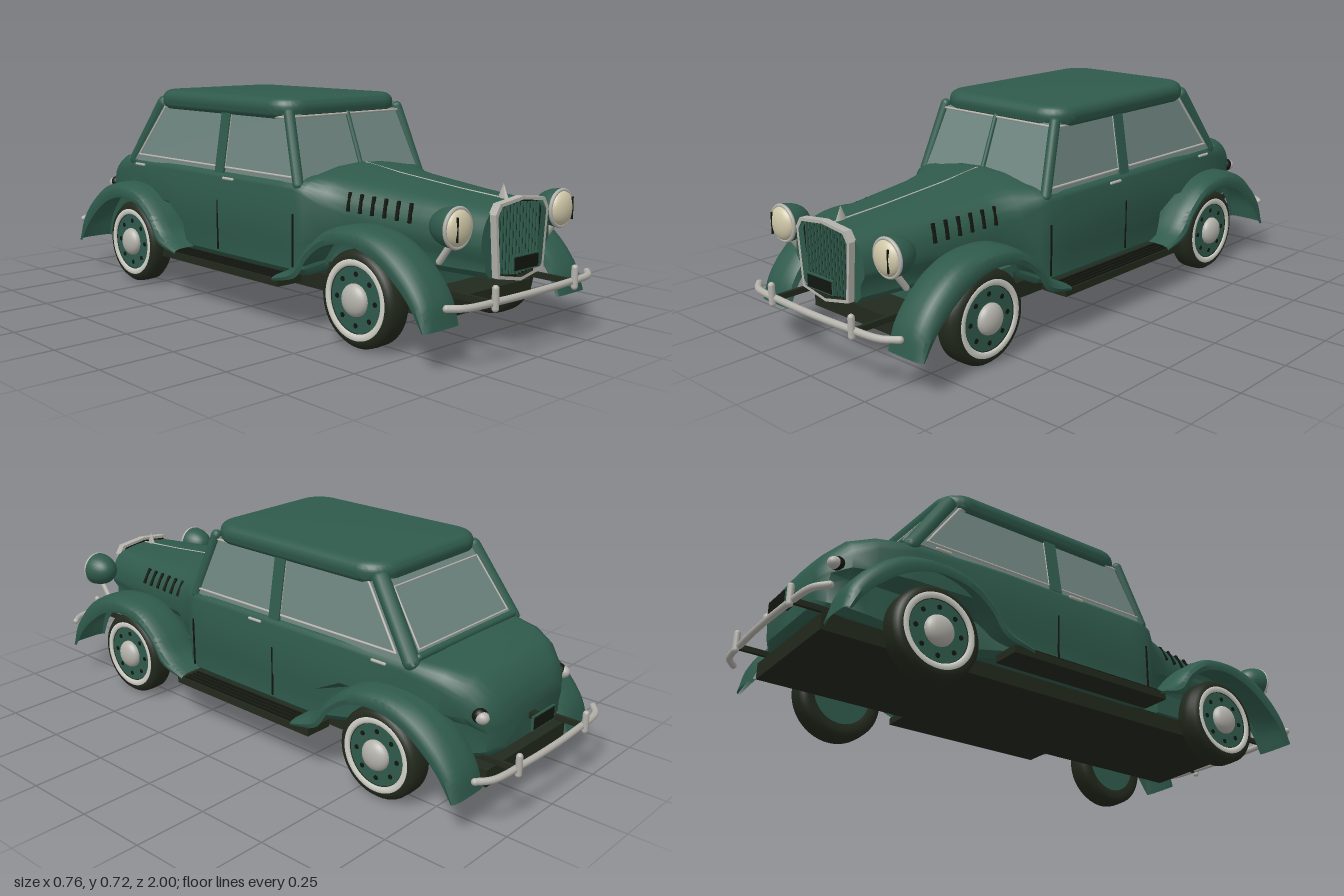
import * as THREE from 'three';
import { toCreasedNormals } from 'three/addons/utils/BufferGeometryUtils.js';

const V = (x, y, z) => new THREE.Vector3(x, y, z);
const mat = (name, color, side = THREE.FrontSide) => new THREE.MeshStandardMaterial({ name, color, side });

export function createModel() {
  const root = new THREE.Group();
  root.name = 'vintageSaloonCar';
  const green = mat('bodyGreen', 0x2f5a4c, THREE.DoubleSide);
  const dark = mat('blackRubber', 0x22291d);
  const chrome = mat('chrome', 0xb4b2ab);
  const glass = mat('glass', 0x6f8580);
  const ivory = mat('lampIvory', 0xcfc7a8);
  const white = mat('whitewall', 0xd2d2ca);
  const black = mat('seamBlack', 0x12160f);

  const add = (name, geo, m, pos = [0, 0, 0], parent = root) => {
    const mesh = new THREE.Mesh(geo, m);
    mesh.name = name;
    mesh.position.set(...pos);
    parent.add(mesh);
    return mesh;
  };
  const box = (name, size, m, pos, parent) => add(name, new THREE.BoxGeometry(...size), m, pos, parent);
  const beam = (name, a, b, r, m) => {
    const d = b.clone().sub(a);
    const mesh = add(name, new THREE.CapsuleGeometry(r, d.length(), 4, 12), m);
    mesh.position.copy(a).addScaledVector(d, 0.5);
    mesh.quaternion.setFromUnitVectors(V(0, 1, 0), d.normalize());
    return mesh;
  };
  const outline = (name, pts, r, m) => pts.forEach((p, i) => beam(name, p, pts[(i + 1) % pts.length], r, m));

  // Skin rings of equal length, optionally closed around and capped
  const loft = (rings, closed) => {
    const n = rings[0].length, pos = rings.flat().flatMap(p => p.toArray()), idx = [];
    for (let i = 0; i < rings.length - 1; i++)
      for (let j = 0; j < (closed ? n : n - 1); j++) {
        const a = i * n + j, b = i * n + (j + 1) % n;
        idx.push(a, a + n, b, b, a + n, b + n);
      }
    if (closed) [0, rings.length - 1].forEach((k, end) => {
      const c = rings[k].reduce((s, p) => s.add(p), V(0, 0, 0)).divideScalar(n), ci = pos.length / 3;
      pos.push(...c.toArray());
      for (let j = 0; j < n; j++) {
        const a = k * n + j, b = k * n + (j + 1) % n;
        idx.push(ci, end ? b : a, end ? a : b);
      }
    });
    const g = new THREE.BufferGeometry();
    g.setAttribute('position', new THREE.Float32BufferAttribute(pos, 3));
    g.setIndex(idx);
    return toCreasedNormals(g, 0.65);
  };

  // Bonnet, doors and tail: [z, lower half width, half width, bottom, step, top, corner x, corner y, crown]
  const section = ([z, wb, w, yb, ys, yt, rx, ry, crown]) => {
    const half = [[wb - 0.02, yb], [wb, yb + 0.02], [wb, ys - 0.01], [w, ys + 0.02]];
    for (let i = 0; i <= 6; i++) {
      const a = i / 6 * Math.PI / 2;
      half.push([w - rx + rx * Math.cos(a), yt - ry + ry * Math.sin(a)]);
    }
    half.push([(w - rx) * 0.5, yt + crown * 0.75]);
    return [V(0, yb, z), ...half.map(p => V(p[0], p[1], z)), V(0, yt + crown, z),
      ...half.reverse().map(p => V(-p[0], p[1], z))];
  };
  add('bodyShell', loft([
    [0.91, 0.14, 0.16, 0.235, 0.30, 0.435, 0.07, 0.10, 0.010],
    [0.70, 0.17, 0.19, 0.235, 0.30, 0.448, 0.08, 0.10, 0.012],
    [0.45, 0.20, 0.225, 0.225, 0.30, 0.467, 0.09, 0.10, 0.016],
    [0.36, 0.235, 0.252, 0.19, 0.28, 0.476, 0.10, 0.09, 0.020],
    [0.31, 0.285, 0.29, 0.165, 0.25, 0.480, 0.10, 0.06, 0.022],
    [0.27, 0.296, 0.30, 0.16, 0.25, 0.475, 0.10, 0.04, 0.025],
    [0.20, 0.298, 0.303, 0.16, 0.25, 0.460, 0.03, 0.03, 0],
    [-0.30, 0.298, 0.305, 0.16, 0.25, 0.460, 0.03, 0.03, 0],
    [-0.40, 0.245, 0.302, 0.16, 0.30, 0.460, 0.03, 0.03, 0],
    [-0.64, 0.235, 0.292, 0.16, 0.30, 0.460, 0.04, 0.04, 0.004],
    [-0.76, 0.235, 0.275, 0.17, 0.30, 0.453, 0.06, 0.06, 0.006],
    [-0.83, 0.225, 0.248, 0.18, 0.30, 0.438, 0.08, 0.08, 0.008],
    [-0.88, 0.20, 0.215, 0.19, 0.28, 0.395, 0.09, 0.08, 0.006],
    [-0.905, 0.16, 0.17, 0.21, 0.27, 0.345, 0.08, 0.05, 0.004],
  ].map(section), true), green);
  box('chassis', [0.44, 0.055, 1.71], dark, [0, 0.1375, -0.045]);
  box('frontApron', [0.47, 0.075, 0.3], green, [0, 0.2, 0.53]);

  // Cabin glass, tapered toward the roof
  const cabin = new THREE.BoxGeometry(2, 1, 2), cp = cabin.attributes.position;
  for (let i = 0; i < cp.count; i++) {
    const up = cp.getY(i) > 0, front = cp.getZ(i) > 0;
    cp.setXYZ(i, Math.sign(cp.getX(i)) * (up ? 0.252 : 0.288), up ? 0.665 : 0.45,
      front ? (up ? 0.205 : 0.288) : (up ? -0.52 : -0.672));
  }
  cabin.computeVertexNormals();
  add('cabinGlass', cabin, glass);

  // Roof with rounded corners and edges
  const rs = new THREE.Shape(), hw = 0.238, hl = 0.335, cr = 0.06;
  [[1, -1, -90], [1, 1, 0], [-1, 1, 90], [-1, -1, 180]].forEach(([sx, sy, a]) =>
    rs.absarc(sx * (hw - cr), sy * (hl - cr), cr, a * Math.PI / 180, (a + 90) * Math.PI / 180, false));
  const roof = new THREE.ExtrudeGeometry(rs, { depth: 0.012, bevelThickness: 0.03, bevelSize: 0.034, bevelSegments: 5, curveSegments: 8 });
  roof.rotateX(-Math.PI / 2);
  add('roof', toCreasedNormals(roof, 0.6), green, [0, 0.675, -0.157]);

  // Windscreen and rear window frames
  beam('windscreenDivider', V(0, 0.48, 0.28), V(0, 0.66, 0.21), 0.008, green);
  beam('windscreenTopTrim', V(-0.245, 0.658, 0.212), V(0.245, 0.658, 0.212), 0.004, chrome);
  beam('rearWindowSill', V(-0.25, 0.466, -0.664), V(0.25, 0.466, -0.664), 0.012, green);
  outline('rearWindowTrim', [V(-0.235, 0.482, -0.652), V(0.235, 0.482, -0.652), V(0.215, 0.645, -0.536), V(-0.215, 0.645, -0.536)], 0.003, chrome);

  // Fender paths in [z, y]: outer crown and wheel opening edge
  const curve = pts => new THREE.CatmullRomCurve3(pts.map(p => V(0, p[1], p[0]))).getPoints(36);
  const crown = curve([[0.905, 0.12], [0.885, 0.2], [0.82, 0.285], [0.72, 0.35], [0.6, 0.37], [0.49, 0.35], [0.4, 0.285], [0.34, 0.215], [0.26, 0.175]]);
  const lip = curve([[0.885, 0.115], [0.835, 0.185], [0.77, 0.245], [0.69, 0.295], [0.59, 0.318], [0.49, 0.3], [0.42, 0.25], [0.37, 0.185], [0.26, 0.155]]);
  const fenderProfile = [[0.235, 0.55], [0.24, 0.2], [0.262, 0.03], [0.29, 0], [0.325, 0], [0.353, 0.06], [0.373, 0.3], [0.38, 0.65], [0.376, 1]];

  // Tyre outline, radius and offset along the axle
  const tyre = new THREE.LatheGeometry([[0.1, -0.04], [0.122, -0.045], [0.138, -0.04], [0.149, -0.026], [0.15, 0], [0.149, 0.026], [0.138, 0.04], [0.122, 0.045], [0.1, 0.04]]
    .map(p => new THREE.Vector2(...p)), 48).rotateZ(-Math.PI / 2);
  const wheel = (s, z) => {
    const g = new THREE.Group();
    g.name = 'wheel';
    g.position.set(s * 0.3, 0.15, z);
    g.rotation.y = s > 0 ? 0 : Math.PI;
    root.add(g);
    add('tyre', tyre, dark, [0, 0, 0], g);
    add('wheelDisc', new THREE.CylinderGeometry(0.104, 0.104, 0.076, 40).rotateZ(Math.PI / 2), green, [0, 0, 0], g);
    const wall = add('whitewall', new THREE.TorusGeometry(0.114, 0.012, 6, 48).rotateY(Math.PI / 2), white, [0.042, 0, 0], g);
    wall.scale.x = 0.45;
    const cap = add('hubCap', new THREE.SphereGeometry(0.05, 24, 16), chrome, [0.042, 0, 0], g);
    cap.scale.x = 0.55;
    for (let i = 0; i < 8; i++) {
      const a = i * Math.PI / 4;
      add('wheelSlot', new THREE.CylinderGeometry(0.008, 0.008, 0.004, 10).rotateZ(Math.PI / 2), black, [0.038, 0.078 * Math.sin(a), 0.078 * Math.cos(a)], g);
    }
  };

  for (const s of [1, -1]) {
    // Pillars and side window trim
    const pane = (y, z) => V(s * (0.289 - (y - 0.45) * 0.167), y, z);
    beam('frontPillar', V(s * 0.28, 0.45, 0.276), V(s * 0.25, 0.668, 0.2), 0.018, green);
    beam('rearPillar', V(s * 0.266, 0.45, -0.648), V(s * 0.236, 0.665, -0.504), 0.028, green);
    const mid = box('centrePillar', [0.016, 0.22, 0.046], green, [s * 0.27, 0.56, -0.11]);
    mid.rotation.z = s * 0.166;
    outline('frontWindowTrim', [pane(0.472, 0.258), pane(0.655, 0.192), pane(0.655, -0.09), pane(0.472, -0.09)], 0.004, chrome);
    outline('rearWindowSideTrim', [pane(0.472, -0.13), pane(0.655, -0.13), pane(0.655, -0.472), pane(0.472, -0.603)], 0.004, chrome);

    // Door seams and handles
    for (const z of [0.275, -0.11]) box('doorSeam', [0.004, 0.17, 0.005], black, [s * 0.3035, 0.275, z]);
    for (const z of [-0.04, -0.56]) beam('doorHandle', V(s * 0.312, 0.44, z - 0.024), V(s * 0.312, 0.44, z + 0.024), 0.005, chrome);

    // Bonnet louvres
    for (let i = 0; i < 6; i++) {
      const z = 0.44 + i * 0.045;
      const l = box('bonnetLouvre', [0.008, 0.06, 0.01], black, [s * (0.2155 - (z - 0.45) * 0.14), 0.41 - i * 0.002, z]);
      l.rotation.set(-0.2, 0, s * 0.38);
    }

    // Running board with tread ribs
    box('runningBoard', [0.1, 0.025, 0.62], dark, [s * 0.325, 0.152, -0.025]);
    for (let i = 0; i < 4; i++) box('boardRib', [0.008, 0.006, 0.56], black, [s * (0.312 + i * 0.018), 0.167, -0.025]);

    for (const e of [1, -1]) {
      wheel(s, e > 0 ? 0.593 : -0.583);
      add(e > 0 ? 'frontFender' : 'rearFender', loft(crown.map((c, i) => fenderProfile.map(([x, t]) => {
        const p = c.clone().lerp(lip[i], t);
        return V(s * x, p.y, e * p.z);
      })), false), green);
      // Bumper supports
      box('bumperBracket', [0.012, 0.018, 0.16], dark, [s * 0.19, 0.188, e * 0.895]);
      beam('overrider', V(s * 0.19, 0.175, e * 0.987), V(s * 0.19, 0.232, e * 0.987), 0.0105, chrome);
    }

    // Headlamp
    const lamp = new THREE.Group();
    lamp.name = 'headlamp';
    lamp.position.set(s * 0.245, 0.395, 0.89);
    root.add(lamp);
    const bowl = add('lampBowl', new THREE.SphereGeometry(0.06, 28, 20), green, [0, 0, 0], lamp);
    bowl.scale.z = 1.45;
    bowl.geometry = new THREE.SphereGeometry(0.06, 28, 12, 0, Math.PI * 2, 0, Math.PI / 2).rotateX(-Math.PI / 2);
    add('lampRim', new THREE.TorusGeometry(0.056, 0.006, 8, 36), chrome, [0, 0, 0.004], lamp);
    const lens = add('lampLens', new THREE.SphereGeometry(0.054, 28, 16), ivory, [0, 0, 0.003], lamp);
    lens.scale.z = 0.5;
    box('lensLine', [0.003, 0.07, 0.006], black, [s * 0.027, 0, 0.025], lamp);
    beam('lampStalk', V(s * 0.245, 0.345, 0.87), V(s * 0.245, 0.29, 0.83), 0.01, chrome);

    // Tail lamp
    const tail = add('tailLamp', new THREE.SphereGeometry(0.02, 16, 12), chrome, [s * 0.225, 0.33, -0.875]);
    tail.scale.z = 1.2;
    add('tailLampBase', new THREE.SphereGeometry(0.024, 16, 12), black, [s * 0.22, 0.332, -0.865]);
  }

  // Curved bumpers and number plates
  for (const e of [1, -1]) {
    const path = new THREE.CatmullRomCurve3([[-0.335, 0.935], [-0.29, 0.967], [-0.15, 0.98], [0, 0.984], [0.15, 0.98], [0.29, 0.967], [0.335, 0.935]].map(p => V(p[0], 0.19, e * p[1])));
    add(e > 0 ? 'frontBumper' : 'rearBumper', new THREE.TubeGeometry(path, 40, 0.011, 10), chrome);
    for (const x of [-0.335, 0.335]) add('bumperEnd', new THREE.SphereGeometry(0.011, 10, 8), chrome, [x, 0.19, e * 0.935]);
    box('plateBorder', [0.122, 0.047, 0.006], green, [0, 0.273, e * 0.945]);
    box('numberPlate', [0.112, 0.038, 0.008], black, [0, 0.273, e * 0.946]);
    box('plateMount', [0.03, 0.02, 0.05], dark, [0, 0.273, e * 0.918]);
  }

  // Radiator grille
  const outer = [[0, 0.462], [0.105, 0.45], [0.125, 0.42], [0.108, 0.235], [0, 0.214], [-0.108, 0.235], [-0.125, 0.42], [-0.105, 0.45]].map(p => new THREE.Vector2(...p));
  const inner = outer.map(p => new THREE.Vector2(p.x * 0.91, 0.338 + (p.y - 0.338) * 0.92));
  const frame = new THREE.Shape(outer);
  frame.holes.push(new THREE.Path(inner));
  add('grilleFrame', new THREE.ExtrudeGeometry(frame, { depth: 0.026, bevelEnabled: false }), chrome, [0, 0, 0.905]);
  add('grilleBack', new THREE.ExtrudeGeometry(new THREE.Shape(inner), { depth: 0.008, bevelEnabled: false }), black, [0, 0, 0.905]);
  for (let i = -6; i <= 6; i++) {
    const x = i * 0.0155, drop = Math.abs(x) * 0.15;
    box('grilleBar', [0.005, 0.215 - drop * 1.6, 0.008], green, [x, 0.338 + drop * 0.2, 0.916]);
  }

  // Bonnet centre strip and ornament
  beam('bonnetStrip', V(0, 0.446, 0.9), V(0, 0.459, 0.7), 0.003, chrome);
  beam('bonnetStrip', V(0, 0.459, 0.7), V(0, 0.482, 0.45), 0.003, chrome);
  beam('bonnetStrip', V(0, 0.482, 0.45), V(0, 0.501, 0.3), 0.003, chrome);
  const orn = add('bonnetOrnament', new THREE.ConeGeometry(0.02, 0.045, 12), chrome, [0, 0.47, 0.86]);
  orn.scale.x = 0.35;
  return root;
}
